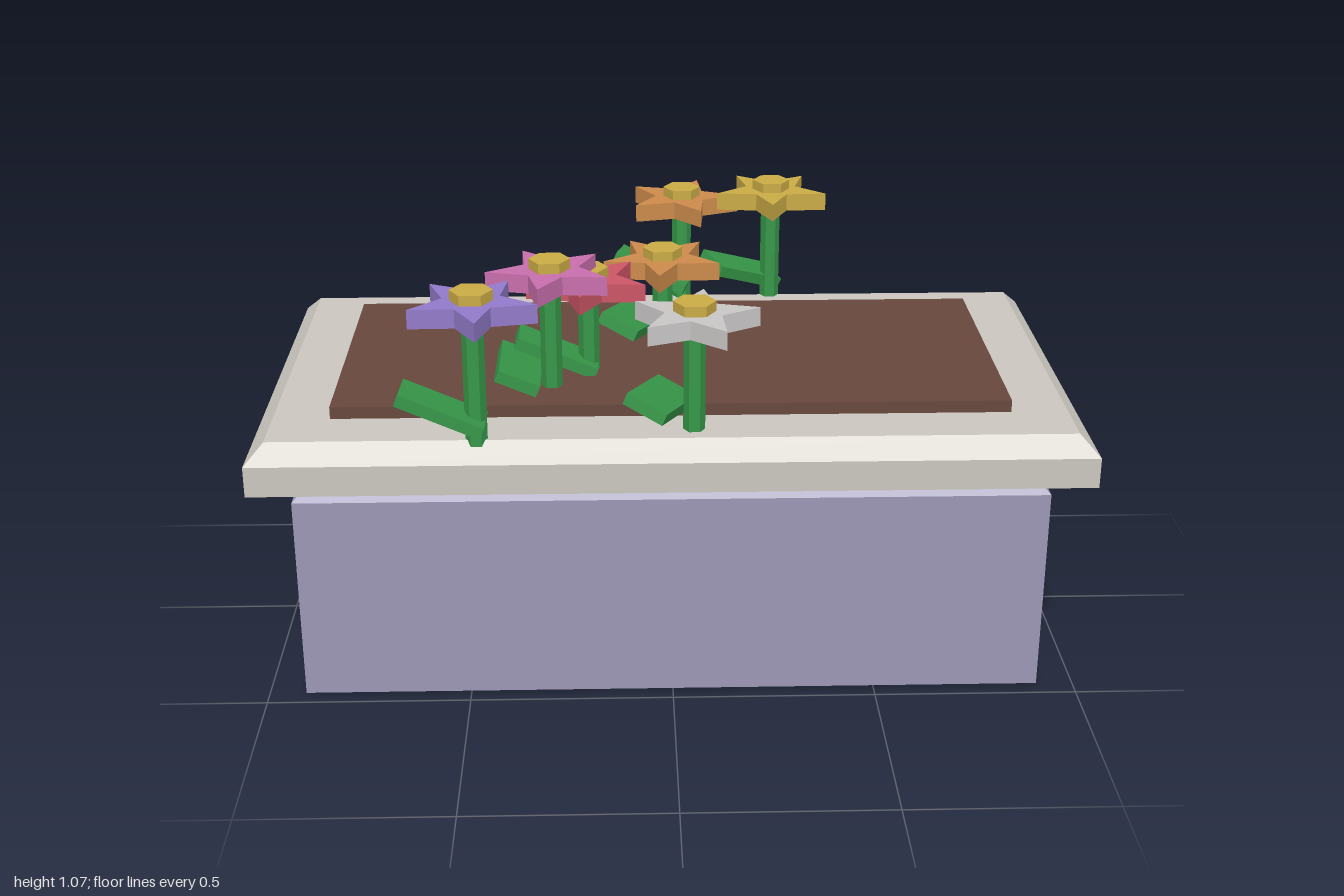
import * as THREE from 'three';

const mat = (name, color) => {
  const m = new THREE.MeshStandardMaterial({ color });
  m.name = name;
  return m;
};
const rad = THREE.MathUtils.degToRad;

// Gives every face its own flat normal
function faceted(geometry) {
  const g = geometry.index ? geometry.toNonIndexed() : geometry;
  g.computeVertexNormals();
  return g;
}

function addMesh(parent, name, geometry, material, x = 0, y = 0, z = 0) {
  const mesh = new THREE.Mesh(geometry, material);
  mesh.name = name;
  mesh.position.set(x, y, z);
  parent.add(mesh);
  return mesh;
}

// Box standing on y0 whose upper edge is chamfered from yBevel to y1
function chamferedBox(halfX, halfZ, y0, yBevel, y1, inset) {
  const g = new THREE.BoxGeometry(2 * halfX, 2, 2 * halfZ, 1, 2, 1);
  const p = g.attributes.position;
  for (let i = 0; i < p.count; i++) {
    const level = Math.round(p.getY(i));
    const k = level > 0 ? inset : 0;
    p.setXYZ(i, Math.sign(p.getX(i)) * (halfX - k), [y0, yBevel, y1][level + 1],
      Math.sign(p.getZ(i)) * (halfZ - k));
  }
  return faceted(g);
}

// Five-pointed blossom lying flat, its top face at y = 0
function starGeometry(outer, inner, depth) {
  const points = [];
  for (let i = 0; i < 10; i++) {
    const r = i % 2 ? inner : outer;
    const a = (i * Math.PI) / 5;
    points.push(new THREE.Vector2(r * Math.cos(a), r * Math.sin(a)));
  }
  const g = new THREE.ExtrudeGeometry(new THREE.Shape(points), { depth, bevelEnabled: false });
  return g.rotateX(Math.PI / 2);
}

// Six-sided prism with corners on the x axis
const hexPrism = (radius, height) =>
  faceted(new THREE.CylinderGeometry(radius, radius, height, 6, 1, false, Math.PI / 6));

export function createModel() {
  const model = new THREE.Group();
  model.name = 'flowerPlanter';

  const base = mat('lavenderStone', 0x9b97b4);
  const rim = mat('paleStone', 0xcac6bf);
  const earth = mat('soilBrown', 0x66473d);
  const green = mat('leafGreen', 0x369648);
  const purple = mat('purple', 0x917ac9);
  const pink = mat('pink', 0xc76eab);
  const red = mat('red', 0xcb5565);
  const orange = mat('orange', 0xcb8a4b);
  const yellow = mat('yellow', 0xc9aa45);
  const white = mat('white', 0xc8c6c5);

  // Planter
  addMesh(model, 'planterBody', chamferedBox(0.91, 0.455, 0, 0.52, 0.58, 0.06), base);
  addMesh(model, 'planterRim', chamferedBox(1, 0.545, 0.58, 0.655, 0.7, 0.045), rim);
  addMesh(model, 'soil', new THREE.BoxGeometry(1.635, 0.06, 0.73), earth, 0, 0.7, 0);

  // Flowers: petal colour, x, z, petal top height, petal turn, leaf turn (degrees)
  const flowers = [
    [purple, -0.46, 0.49, 1.042, 12, 2],
    [pink, -0.29, 0.235, 1.03, 27, 90],
    [red, -0.2, 0.125, 0.971, 25, 0],
    [orange, -0.012, -0.103, 0.946, 22, -68],
    [white, 0.05, 0.445, 0.995, -8, -67],
    [orange, 0.05, -0.503, 0.988, 0, 13],
    [yellow, 0.295, -0.503, 1.006, 20, -30],
  ];
  const star = starGeometry(0.155, 0.07, 0.046);
  const heart = hexPrism(0.05, 0.05);
  const leafShape = new THREE.BoxGeometry(0.212, 0.03, 0.107);
  const stemBottom = 0.685;

  for (const [petalColour, x, z, top, petalTurn, leafTurn] of flowers) {
    const flower = new THREE.Group();
    flower.name = 'flower';
    flower.position.set(x, 0, z);
    model.add(flower);

    const stemHeight = top - 0.03 - stemBottom;
    addMesh(flower, 'stem', hexPrism(0.026, stemHeight), green, 0, stemBottom + stemHeight / 2, 0);
    addMesh(flower, 'petals', star, petalColour, 0, top, 0).rotation.y = -rad(petalTurn);
    addMesh(flower, 'flowerCentre', heart, yellow, 0, top, 0);

    // Leaf turned in its own plane, then tilted up on the right
    const leaf = addMesh(flower, 'leaf', leafShape, green, -0.08, 0.775, 0);
    leaf.rotation.set(0, -rad(leafTurn), -rad(23), 'ZYX');
  }
  return model;
}
